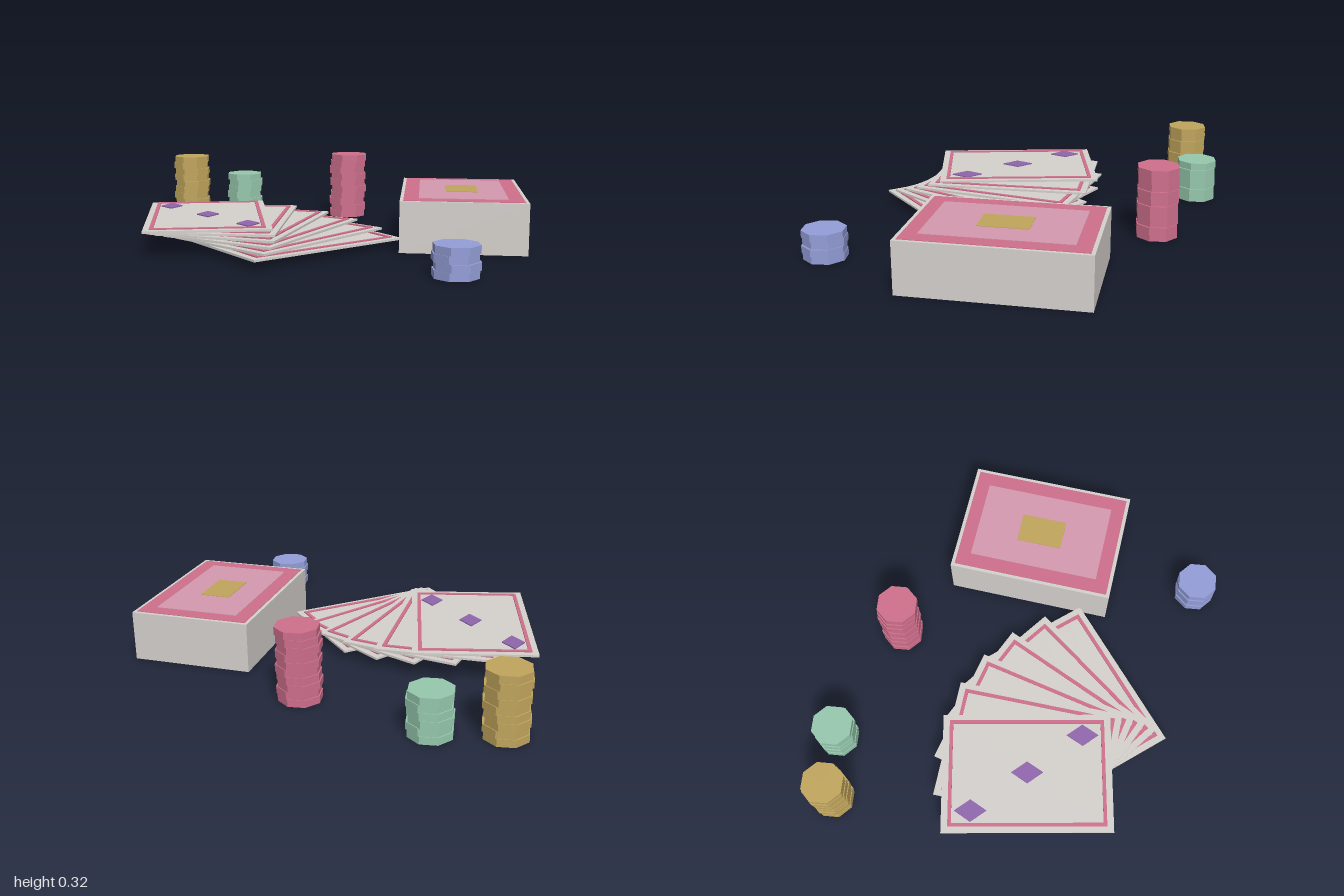
import * as THREE from 'three';

const mat = (name, color) => {
  const m = new THREE.MeshStandardMaterial({ color });
  m.name = name;
  return m;
};

export function createModel() {
  const ivory = mat('ivory', 0xd6d2ce);
  const pink = mat('pink', 0xd0708d);
  const palePink = mat('pale pink', 0xd69ab0);
  const gold = mat('gold', 0xc2a65d);
  const green = mat('green', 0x97c9ae);
  const blue = mat('blue', 0x959fd9);
  const purple = mat('purple', 0x9066ad);

  const W = 0.54, L = 0.762; // card width and length
  const model = new THREE.Group();
  model.name = 'cardsAndChips';

  const add = (parent, name, geo, material, x, y, z) => {
    const mesh = new THREE.Mesh(geo, material);
    mesh.name = name;
    mesh.position.set(x, y, z);
    parent.add(mesh);
    return mesh;
  };
  // Box standing on height y
  const slab = (parent, name, w, h, l, material, y) =>
    add(parent, name, new THREE.BoxGeometry(w, h, l), material, 0, y + h / 2, 0);
  // Flat shape laid on the ground plane, thickness h upwards
  const flat = (shape, h) =>
    new THREE.ExtrudeGeometry(shape, { depth: h, bevelEnabled: false }).rotateX(-Math.PI / 2);
  const rect = (Type, w, l) => new Type([[-1, -1], [1, -1], [1, 1], [-1, 1]]
    .map(([x, y]) => new THREE.Vector2(x * w / 2, y * l / 2)));

  // Closed deck with its patterned back on top
  const deck = new THREE.Group();
  deck.name = 'deck';
  deck.position.set(0.64, 0, -0.243);
  deck.rotation.y = 0.26;
  slab(deck, 'deckBody', W, 0.222, L, ivory, 0);
  slab(deck, 'deckBack', 0.51, 0.002, 0.73, pink, 0.222);
  slab(deck, 'deckPanel', 0.38, 0.002, 0.605, palePink, 0.224);
  slab(deck, 'deckEmblem', 0.14, 0.002, 0.21, gold, 0.226);
  model.add(deck);

  // Fan of six cards turning about a shared pivot
  const frameShape = rect(THREE.Shape, 0.486, 0.703);
  frameShape.holes.push(rect(THREE.Path, 0.454, 0.671));
  const frameGeo = flat(frameShape, 0.005);
  const pipShape = new THREE.Shape([[0, -0.072], [0.05, 0], [0, 0.072], [-0.05, 0]]
    .map(([x, y]) => new THREE.Vector2(x, y)));
  const pipGeo = flat(pipShape, 0.005);
  const fan = new THREE.Group();
  fan.name = 'cardFan';
  fan.position.set(-0.21, 0, 0.616);
  for (let i = 0; i < 6; i++) {
    const card = new THREE.Group();
    card.name = 'card' + (i + 1);
    card.position.y = 0.032 + i * 0.0146;
    card.rotation.y = THREE.MathUtils.degToRad(-32 + 12 * i);
    const face = new THREE.Group();
    face.name = 'cardFace';
    face.position.z = -0.432;
    slab(face, 'cardSheet', W, 0.0095, L, ivory, 0);
    add(face, 'cardFrame', frameGeo, pink, 0, 0.0095, 0);
    // Pips run diagonally across the top card
    if (i === 5) for (const k of [-1, 0, 1])
      add(face, 'pip', pipGeo, purple, 0.172 * k, 0.0095, 0.252 * k);
    card.add(face);
    fan.add(card);
  }
  model.add(fan);

  // Stacks of eight-sided chips, each chip nudged a little sideways
  const chipH = 0.0322;
  const chipGeo = new THREE.CylinderGeometry(0.0945, 0.0945, chipH, 8).toNonIndexed();
  chipGeo.computeVertexNormals();
  const stacks = [
    ['goldStack', gold, 9, -0.9, -0.5],
    ['greenStack', green, 6, -0.645, -0.63],
    ['pinkStack', pink, 10, -0.05, -0.63],
    ['blueStack', blue, 4, 0.801, 0.52],
  ];
  for (const [name, material, count, x, z] of stacks) {
    const stack = new THREE.Group();
    stack.name = name;
    stack.position.set(x, 0, z);
    for (let i = 0; i < count; i++) {
      const nudge = (((i * 2 + 1) % 5) - 2) * 0.003;
      add(stack, 'chip', chipGeo, material, nudge, (i + 0.5) * chipH, 0);
    }
    model.add(stack);
  }
  return model;
}
